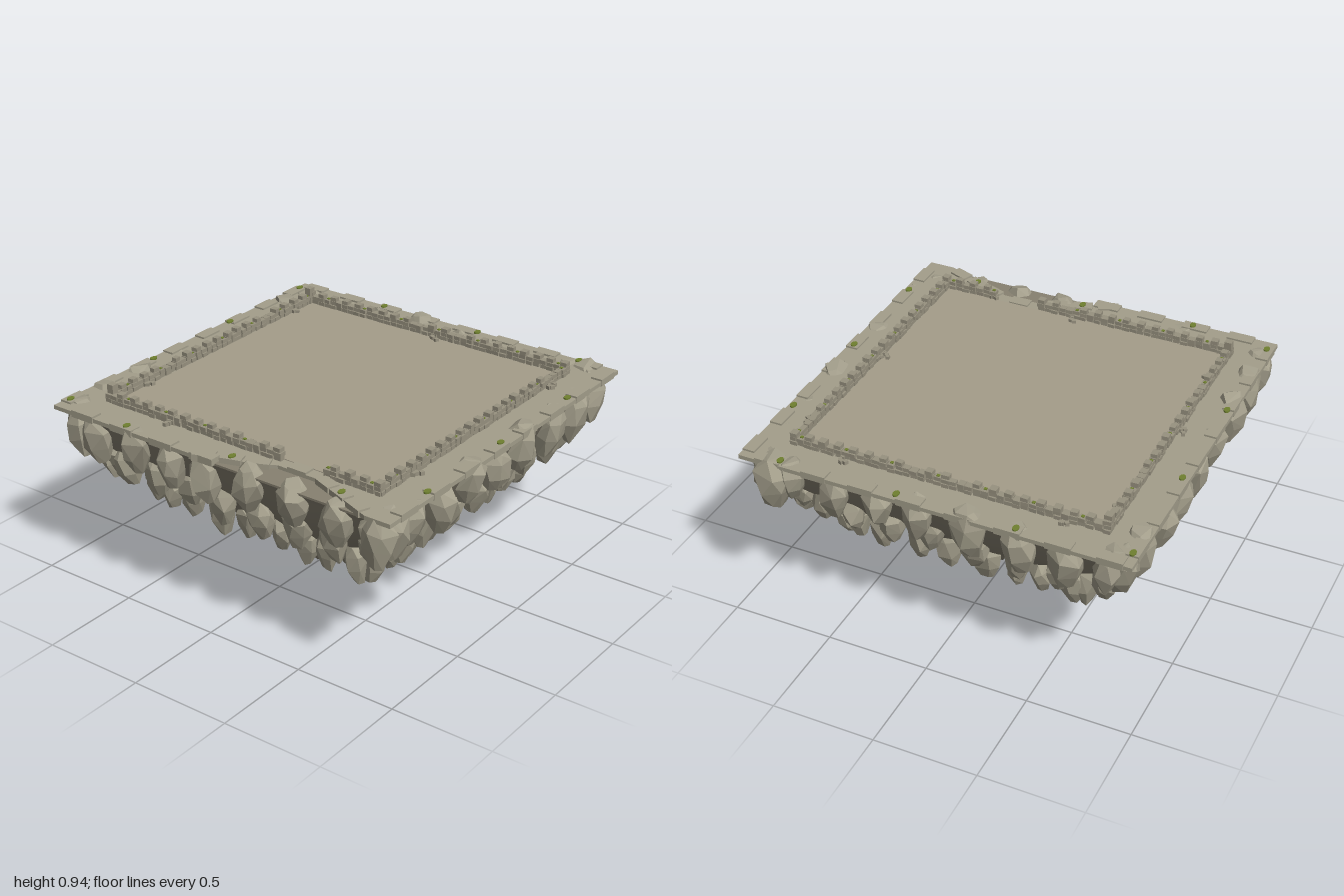
import * as THREE from 'three';
import { mergeGeometries } from 'three/addons/utils/BufferGeometryUtils.js';
import { ConvexGeometry } from 'three/addons/geometries/ConvexGeometry.js';

const CX = -0.02, CZ = 0.005; // middle of the platform
const TOP = 0.87;

function makeRandom(seed) {
  return () => {
    seed = (seed * 16807) % 2147483647;
    return seed / 2147483647;
  };
}

export function createModel() {
  const rnd = makeRandom(4711);
  const jitter = (a) => (rnd() - 0.5) * 2 * a;
  const material = (name, color, side = THREE.FrontSide) => {
    const m = new THREE.MeshStandardMaterial({ color, side });
    m.name = name;
    return m;
  };
  const stone = material('stone', 0xa39e8b);
  const earth = material('underside rock', 0x878171, THREE.DoubleSide);
  const paving = material('paving', 0xa59d8a);
  const masonry = material('wall stone', 0x989280);
  const moss = material('moss', 0x6f8030);

  const model = new THREE.Group();
  model.name = 'floatingPlatform';
  const add = (name, geometry, mat) => {
    const mesh = new THREE.Mesh(geometry, mat);
    mesh.name = name;
    model.add(mesh);
  };
  const box = (w, h, d, x, y, z, turn = 0) =>
    new THREE.BoxGeometry(w, h, d).rotateY(turn).translate(x, y, z);

  // Pleated underside: square at the rim, tapering to a ragged round tip
  // each level: height, half width, squareness, pleat depth, twist
  const levels = [
    [0.85, 0.925, 40, 0, 0], [0.8, 0.89, 30, 0, 0], [0.7, 0.85, 16, 0.004, 0],
    [0.6, 0.77, 10, 0.008, 0], [0.5, 0.68, 7, 0.02, 0], [0.4, 0.555, 5, 0.04, 0],
    [0.28, 0.43, 3.5, 0.07, 0.02], [0.15, 0.295, 2.6, 0.1, 0.06],
    [0.03, 0.165, 2.1, 0.14, 0.14], [0.06, 0.06, 2, 0.1, 0.4],
  ];
  const N = 128;
  const pleat = Array.from({ length: N }, (_, i) => (i % 4 === 0 ? -1 : i % 4 === 2 ? 0.5 : 0) + jitter(0.5));
  const points = [], faces = [];
  points.push(CX, 0.85, CZ);
  levels.forEach(([y, half, p, depth, twist], r) => {
    for (let i = 0; i < N; i++) {
      const a = (i / N) * Math.PI * 2 + Math.PI / 4;
      const c = Math.cos(a), s = Math.sin(a);
      const radius = half / Math.pow(Math.abs(c) ** p + Math.abs(s) ** p, 1 / p) * (1 + pleat[i] * depth);
      const t = a + twist;
      const ragged = r === levels.length - 2 ? pleat[i] * -0.014 : 0;
      points.push(CX + radius * Math.cos(t), y + ragged, CZ + radius * Math.sin(t));
    }
  });
  const tip = points.length / 3;
  points.push(CX, 0.07, CZ);
  for (let i = 0; i < N; i++) {
    const j = (i + 1) % N;
    for (let r = 0; r < levels.length - 1; r++) {
      const a = 1 + r * N + i, b = 1 + r * N + j;
      faces.push(a, b, a + N, b, b + N, a + N);
    }
    const last = 1 + (levels.length - 1) * N;
    faces.push(last + i, last + j, tip);
  }
  const under = new THREE.BufferGeometry();
  under.setAttribute('position', new THREE.Float32BufferAttribute(points, 3));
  under.setIndex(faces);
  under.computeVertexNormals();
  add('pleatedUnderside', under, earth);
  add('brokenLedge', box(1.85, 0.01, 1.85, CX, 0.848, CZ), earth);

  // Faceted hanging boulders, three rows on each side
  const boulder = (w, h, d) => {
    const pts = [];
    [[0.5, 0.55], [0.27, 0.95], [-0.12, 0.9], [-0.5, 0.45]].forEach(([y, r]) => {
      const start = rnd() * 6;
      for (let k = 0; k < 6; k++) {
        const a = start + (k / 6) * Math.PI * 2 + jitter(0.25);
        const q = 0.5 * r * (1 + jitter(0.15));
        pts.push(new THREE.Vector3(Math.cos(a) * q * w, (y + jitter(0.06)) * h, Math.sin(a) * q * d));
      }
    });
    return new ConvexGeometry(pts);
  };
  const rows = [
    { y: 0.755, d: 0.89, w: 0.165, h: 0.22, u: [-0.87, -0.72, -0.48, -0.27, -0.07, 0.16, 0.41, 0.63, 0.86] },
    { y: 0.595, d: 0.79, w: 0.135, h: 0.18, u: [-0.74, -0.62, -0.46, -0.25, -0.06, 0.16, 0.35, 0.55, 0.74] },
    { y: 0.44, d: 0.65, w: 0.125, h: 0.18, u: [-0.6, -0.51, -0.38, -0.2, -0.05, 0.15, 0.28, 0.41, 0.56] },
  ];
  const boulders = [];
  for (let side = 0; side < 4; side++) {
    for (const { y, d, w, h, u } of rows) {
      for (const pos of u) {
        const size = 1 + jitter(0.13);
        const inset = d * (1 - Math.pow(1 - Math.abs(pos / d) ** 9, 1 / 9)) * 0.5;
        boulders.push(boulder(w * size, h * size, w * 0.95)
          .rotateX(0.12)
          .rotateZ(jitter(0.12))
          .translate(pos + jitter(0.015), y + jitter(0.02), d - inset)
          .rotateY(side * Math.PI / 2)
          .translate(CX, 0, CZ));
      }
    }
  }
  boulders.push(boulder(0.22, 0.25, 0.2).translate(0.885, 0.755, 0.8));
  boulders.push(boulder(0.15, 0.24, 0.18).translate(-0.92, 0.74, 0.86));
  add('boulders', mergeGeometries(boulders), stone);

  // Platform slab with a broken bite out of its right edge
  const outline = [
    [-0.96, -0.94], [0.925, -0.94], [0.925, 0.95], [-0.96, 0.95], [-0.96, 0.82],
    [-0.82, 0.46], [-0.82, 0.26], [-0.87, 0.17], [-0.92, -0.02], [-0.96, -0.1],
  ].map(([x, z]) => new THREE.Vector2(x, z));
  const slab = new THREE.ExtrudeGeometry(new THREE.Shape(outline), { depth: 0.02, bevelEnabled: false });
  add('platformSlab', slab.rotateX(Math.PI / 2).translate(0, TOP, 0), stone);
  add('pavedCourt', box(1.48, 0.004, 1.48, CX, TOP + 0.001, CZ), paving);

  // Edge stones around the slab
  const edge = [];
  for (let i = 0; i < 8; i++) {
    const u = -0.86 + i * 0.235;
    edge.push(box(0.12, 0.034, 0.06, u + 0.04, 0.862, 0.922));
    edge.push(box(0.12, 0.034, 0.06, u + 0.01, 0.862, -0.912));
    edge.push(box(0.06, 0.034, 0.12, 0.897, 0.862, u + 0.02));
    if (i < 4) edge.push(box(0.06, 0.034, 0.13, -0.935, 0.862, u + 0.1));
  }
  const bite = [[-0.93, -0.06], [-0.885, 0.06], [-0.845, 0.18], [-0.79, 0.36], [-0.825, 0.53], [-0.865, 0.635], [-0.91, 0.75]];
  const turns = [0.35, 0.3, 0.4, 0, -0.37, -0.37, -0.37];
  bite.forEach(([x, z], i) => edge.push(box(0.06, 0.034, 0.1, x, 0.862, z, turns[i])));
  add('edgeStones', mergeGeometries(edge), stone);

  // Low crenellated wall of small blocks, open at the bite
  const wall = [], wallMoss = [];
  const x0 = -0.775, x1 = 0.74, z0 = -0.755, z1 = 0.765;
  const COUNT = 40;
  const buildWall = (ax, az, bx, bz, gap) => {
    const alongX = az === bz;
    for (let i = 0; i <= COUNT; i++) {
      const t = i / COUNT;
      const x = ax + (bx - ax) * t, z = az + (bz - az) * t;
      if (gap && z > 0.27 && z < 0.47) continue;
      for (let course = 0; course < 3; course++) {
        if (course === 2 && (i % 2 || rnd() < 0.15)) continue;
        const long = 0.034 + jitter(0.003), thick = 0.032 + jitter(0.006);
        wall.push(box(alongX ? long : thick, 0.019, alongX ? thick : long,
          x + jitter(0.003), TOP + 0.011 + course * 0.021, z + jitter(0.003), jitter(0.08)));
      }
      if (i % 6 === 3) wallMoss.push(box(0.014, 0.004, 0.014, x, TOP + 0.045, z));
    }
  };
  buildWall(x0, z0, x1, z0);
  buildWall(x0, z1, x1, z1);
  buildWall(x0, z0, x0, z1, true);
  buildWall(x1, z0, x1, z1);
  for (const x of [x0 + 0.015, x1 - 0.015]) wall.push(box(0.035, 0.085, 0.035, x, TOP + 0.042, z0));
  add('courtyardWall', mergeGeometries(wall), masonry);

  // Loose rubble beside the wall
  const rubble = [];
  [[-0.53, -0.727], [-0.06, -0.783], [0.57, -0.727], [-0.53, 0.793], [-0.06, 0.737], [0.57, 0.793],
    [-0.803, -0.38], [-0.747, 0.05], [-0.747, 0.5], [0.768, -0.57], [0.712, 0.04], [0.768, 0.5],
  ].forEach(([x, z]) => {
    for (let k = 0; k < 4; k++) {
      rubble.push(box(0.02, 0.018, 0.018, x + jitter(0.025), TOP + 0.009, z + jitter(0.02), jitter(0.6)));
    }
  });
  add('rubble', mergeGeometries(rubble), masonry);

  // Moss patches on the edge stones and wall
  const patches = [
    [-0.88, -0.91], [-0.31, -0.91], [0.265, -0.91], [0.84, -0.91], [-0.935, -0.51], [0.895, -0.4], [0.895, 0.17],
    [0.895, 0.75], [-0.65, 0.92], [-0.08, 0.92], [0.495, 0.92], [-0.885, 0.06], [-0.865, 0.635],
  ].map(([x, z]) => new THREE.CylinderGeometry(0.021, 0.021, 0.008, 10).scale(1, 1, 0.7).translate(x, 0.881, z));
  add('mossPatches', mergeGeometries([...patches, ...wallMoss]), moss);

  return model;
}
